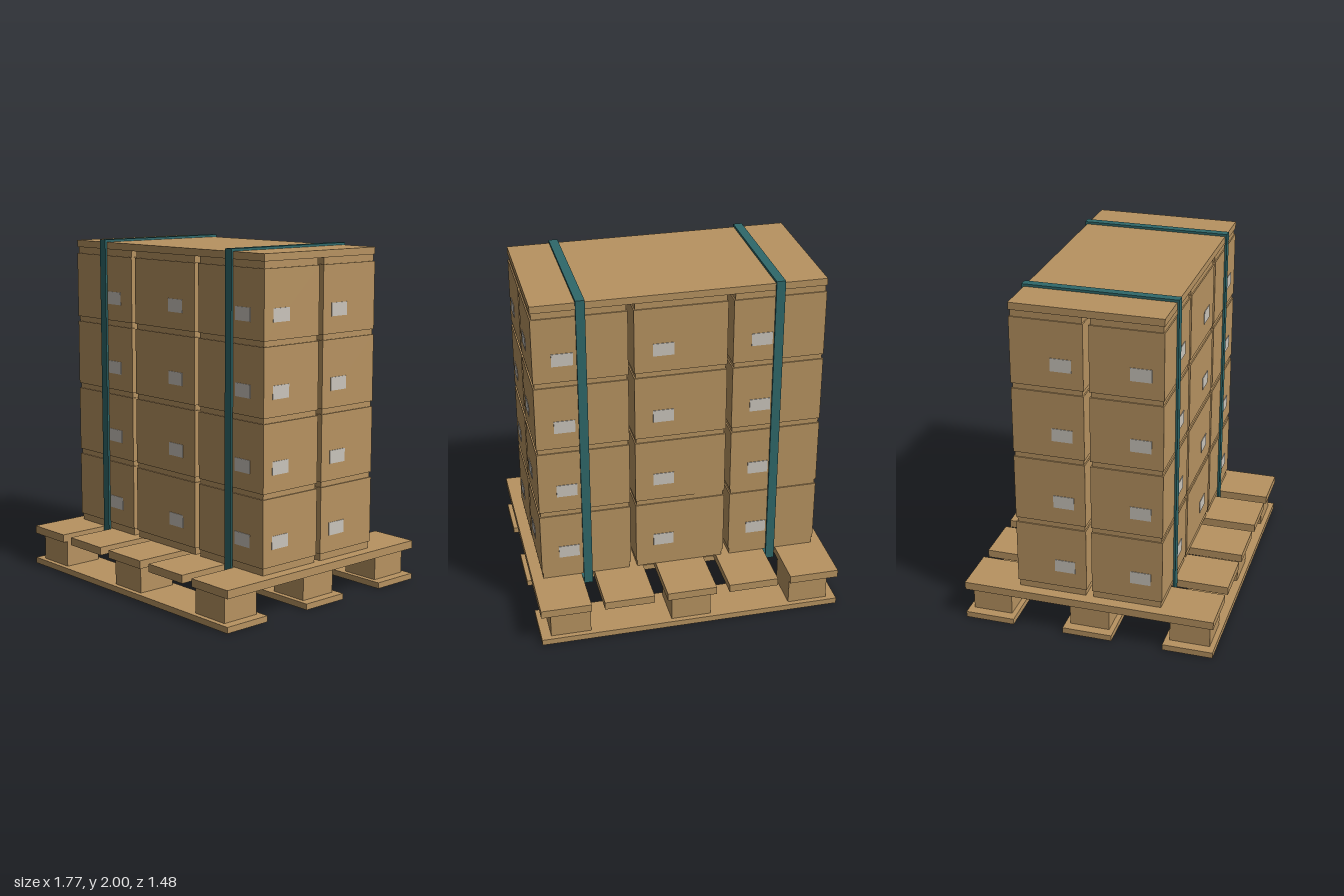
import * as THREE from 'three';

function material(name, color) {
  const m = new THREE.MeshStandardMaterial({ color });
  m.name = name;
  return m;
}

export function createModel() {
  const model = new THREE.Group();
  model.name = 'loadedPallet';
  const tan = material('cardboardTan', 0xb79361);
  const teal = material('strapTeal', 0x2f686a);
  const paper = material('labelGrey', 0xcac5bc);

  // Box given by its centre in x and z and its range in y
  function block(parent, name, mat, w, y0, y1, d, x, z) {
    const mesh = new THREE.Mesh(new THREE.BoxGeometry(w, y1 - y0, d), mat);
    mesh.position.set(x, (y0 + y1) / 2, z);
    mesh.name = name;
    parent.add(mesh);
  }

  // Pallet: bottom runners, blocks and deck boards
  const pallet = new THREE.Group();
  pallet.name = 'pallet';
  model.add(pallet);
  for (const z of [-0.593, 0, 0.593]) {
    block(pallet, 'bottomBoard', tan, 1.774, 0, 0.035, 0.293, 0, z);
    for (const x of [-0.713, 0, 0.713]) {
      block(pallet, 'palletBlock', tan, 0.234, 0.035, 0.19, 0.234, x, z);
    }
  }
  for (let i = -2; i <= 2; i++) {
    block(pallet, 'deckBoard', tan, 0.293, 0.19, 0.237, 1.478, i * 0.3702, 0);
  }

  // Cartons: four layers of three by two, each with a recessed rim
  const cartons = new THREE.Group();
  cartons.name = 'cartons';
  model.add(cartons);
  const W = 0.53, D = 0.412, pitch = 0.415;
  for (const x of [-0.563, 0, 0.563]) {
    for (const z of [-0.222, 0.222]) {
      block(cartons, 'recessedRim', tan, W - 0.014, 0.237, 1.945, D - 0.014, x, z);
      for (let layer = 0; layer < 4; layer++) {
        const y = 0.278 + layer * pitch;
        block(cartons, 'carton', tan, W, y, y + 0.384, D, x, z);
        // Paper labels on the outward sides
        const side = Math.sign(z);
        block(cartons, 'label', paper, 0.12, y + 0.097, y + 0.172, 0.004,
          x + 0.1, z + side * (D / 2 + 0.001));
        if (x !== 0) {
          block(cartons, 'label', paper, 0.004, y + 0.097, y + 0.172, 0.12,
            x + Math.sign(x) * (W / 2 + 0.001), z + 0.08);
        }
      }
    }
  }

  // Cover sheet over the stack
  block(model, 'topSheet', tan, 1.656, 1.945, 1.986, 0.856, 0, 0);

  // Straps: closed rectangular loops round stack and deck
  const outline = [[-0.44, 0.178], [0.44, 0.178], [0.44, 2], [-0.44, 2]];
  const hole = [[-0.428, 0.19], [-0.428, 1.986], [0.428, 1.986], [0.428, 0.19]];
  const loop = new THREE.Shape(outline.map(p => new THREE.Vector2(...p)));
  loop.holes.push(new THREE.Path(hole.map(p => new THREE.Vector2(...p))));
  const strapGeometry = new THREE.ExtrudeGeometry(loop, { depth: 0.052, bevelEnabled: false });
  strapGeometry.translate(0, 0, -0.026).rotateY(Math.PI / 2);
  for (const x of [-0.557, 0.557]) {
    const strap = new THREE.Mesh(strapGeometry, teal);
    strap.name = 'strap';
    strap.position.x = x;
    model.add(strap);
  }
  return model;
}
